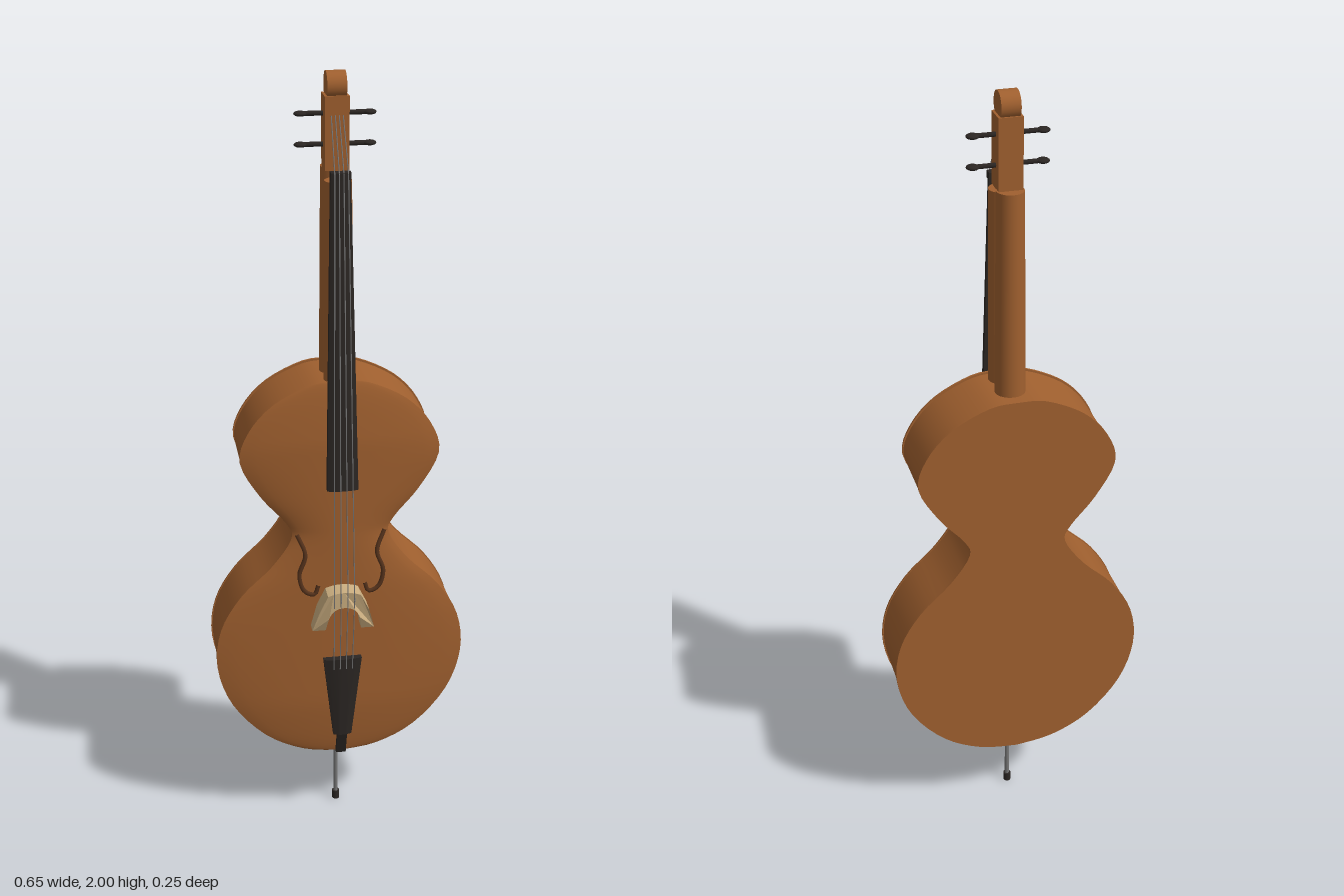
import * as THREE from 'three';
import { toCreasedNormals } from 'three/addons/utils/BufferGeometryUtils.js';

const mat = (color) => new THREE.MeshStandardMaterial({ color });
const V = (x, y, z) => new THREE.Vector3(x, y, z);

export function createModel() {
  const root = new THREE.Group();
  const wood = mat(0xa0602f), ebony = mat(0x2b2623), maple = mat(0xcbae80);
  const steel = mat(0x777777), shadow = mat(0x56331c);

  const add = (name, geo, material, x = 0, y = 0, z = 0) => {
    const m = new THREE.Mesh(geo, material);
    m.name = name;
    m.position.set(x, y, z);
    root.add(m);
    return m;
  };

  // straight round bar between two points
  const rod = (name, a, b, r, material, sides = 8) => {
    const d = b.clone().sub(a);
    const m = add(name, new THREE.CylinderGeometry(r, r, d.length(), sides), material);
    m.position.copy(a).addScaledVector(d, 0.5);
    m.quaternion.setFromUnitVectors(V(0, 1, 0), d.normalize());
    return m;
  };

  // tapered slab with a gently rounded front; each end is [y, half width, back z, front z]
  const slab = (name, lo, hi, crown, material) => {
    const g = new THREE.BoxGeometry(2, 1, 1, 8, 1, 1);
    const p = g.attributes.position;
    for (let i = 0; i < p.count; i++) {
      const u = p.getX(i), e = p.getY(i) > 0 ? hi : lo;
      const z = p.getZ(i) > 0 ? e[3] - crown * u * u : e[2];
      p.setXYZ(i, u * e[1], e[0], z);
    }
    return add(name, toCreasedNormals(g, 0.5), material);
  };

  // body outline: bottom centre, up the left side, mirrored back down
  const half = [
    [0, 0.207], [0.1, 0.222], [0.2, 0.275], [0.285, 0.375], [0.322, 0.49], [0.31, 0.6],
    [0.255, 0.695], [0.175, 0.775], [0.125, 0.85], [0.138, 0.895], [0.2, 0.97],
    [0.25, 1.065], [0.228, 1.145], [0.165, 1.215], [0.07, 1.262], [0, 1.268],
  ].map(([x, y]) => new THREE.Vector2(x, y));
  const side = new THREE.SplineCurve(half).getPoints(60);
  const outline = [...side, ...side.slice(1, -1).reverse().map((p) => new THREE.Vector2(-p.x, p.y))];

  const plate = (name, z0, z1, grow) => {
    const pts = outline.map((p) => new THREE.Vector2(p.x * grow, 0.7375 + (p.y - 0.7375) * grow));
    const g = new THREE.ExtrudeGeometry(new THREE.Shape(pts), { depth: z1 - z0, bevelEnabled: false });
    return add(name, toCreasedNormals(g, 0.6), wood, 0, 0, z0);
  };
  plate('ribs', -0.122, 0.05, 0.99);
  plate('backPlate', -0.125, -0.119, 1);
  plate('frontRim', 0.047, 0.053, 1);

  // arched front plate, one row per outline point
  const archZ = (u, t) => 0.053 + 0.023 * (1 - u * u) ** 0.8 * Math.min(1, Math.sin(Math.PI * t) * 2.2) ** 0.6;
  const belly = new THREE.PlaneGeometry(2, 1, 24, 60);
  const bp = belly.attributes.position;
  for (let i = 0; i < bp.count; i++) {
    const row = Math.floor(i / 25), u = bp.getX(i);
    const p = side[60 - row];
    const t = Math.min(1, Math.max(0, (p.y - 0.207) / 1.061));
    bp.setXYZ(i, u * p.x, p.y, archZ(u, t));
  }
  belly.computeVertexNormals();
  add('archedFront', belly, wood);

  // curved sound holes
  for (const s of [1, -1]) {
    const path = new THREE.CatmullRomCurve3([
      V(0.112 * s, 0.865, 0.06), V(0.092 * s, 0.81, 0.07), V(0.108 * s, 0.755, 0.073),
      V(0.095 * s, 0.71, 0.074), V(0.07 * s, 0.7, 0.075), V(0.06 * s, 0.725, 0.075),
    ]);
    add('soundHole', new THREE.TubeGeometry(path, 30, 0.006, 6), shadow);
  }

  // neck: a round back column and a round column under the fingerboard
  const column = (name, rTop, rBottom, y0, y1, z) => {
    const m = add(name, new THREE.CylinderGeometry(rTop, rBottom, y1 - y0, 20), wood, 0, (y0 + y1) / 2, z);
    return m;
  };
  column('neckBack', 0.033, 0.038, 1.24, 1.775, -0.05);
  column('neckFront', 0.033, 0.036, 1.24, 1.755, 0.018);

  // pegbox and scroll
  add('pegbox', new THREE.BoxGeometry(0.058, 0.172, 0.06), wood, 0, 1.86, -0.026);
  const scroll = add('scroll', new THREE.CylinderGeometry(0.033, 0.033, 0.046, 24), wood, 0, 1.967, -0.026);
  scroll.rotation.z = Math.PI / 2;

  // tuning pegs with flattened heads
  for (const y of [1.83, 1.902]) {
    rod('pegShaft', V(-0.08, y, -0.03), V(0.08, y, -0.03), 0.006, ebony);
    for (const s of [1, -1]) {
      const head = add('pegHead', new THREE.SphereGeometry(0.016, 12, 8), ebony, 0.082 * s, y, -0.03);
      head.scale.y = 0.4;
    }
  }

  // fingerboard, nut and tailpiece
  slab('fingerboard', [0.995, 0.039, 0.08, 0.102], [1.775, 0.024, 0.045, 0.063], 0.006, ebony);
  slab('nut', [1.765, 0.024, 0.045, 0.07], [1.783, 0.024, 0.045, 0.07], 0.004, ebony);
  slab('tailpiece', [0.285, 0.024, 0.08, 0.1], [0.517, 0.05, 0.085, 0.105], 0.006, ebony);
  slab('tailLoop', [0.21, 0.013, 0.055, 0.068], [0.29, 0.013, 0.082, 0.094], 0, ebony);

  // arched bridge with two spread feet
  const b = new THREE.Shape();
  b.moveTo(-0.042, 0.715);
  b.quadraticCurveTo(0, 0.732, 0.042, 0.715);
  b.lineTo(0.064, 0.67);
  b.lineTo(0.08, 0.61);
  b.lineTo(0.046, 0.61);
  b.lineTo(0.04, 0.65);
  b.quadraticCurveTo(0.03, 0.68, 0, 0.68);
  b.quadraticCurveTo(-0.03, 0.68, -0.04, 0.65);
  b.lineTo(-0.046, 0.61);
  b.lineTo(-0.08, 0.61);
  b.lineTo(-0.064, 0.67);
  b.closePath();
  const bridge = new THREE.ExtrudeGeometry(b, { depth: 0.053, bevelEnabled: false });
  // feet are shallower than the top
  const gp = bridge.attributes.position;
  for (let i = 0; i < gp.count; i++) {
    if (gp.getY(i) < 0.62 && gp.getZ(i) > 0.02) gp.setZ(i, 0.035);
  }
  bridge.computeVertexNormals();
  add('bridge', bridge, maple, 0, 0, 0.072);

  // strings from tailpiece over bridge and nut to the pegbox
  for (let i = 0; i < 4; i++) {
    const u = (i - 1.5) / 1.5;
    const pts = [V(0.024 * u, 0.49, 0.106), V(0.026 * u, 0.7, 0.126), V(0.016 * u, 1.78, 0.07), V(0.014 * u, 1.902, 0.003)];
    for (let k = 0; k < 3; k++) rod('string', pts[k], pts[k + 1], 0.0014, steel, 5);
  }

  // end pin
  add('endPinCollar', new THREE.CylinderGeometry(0.014, 0.012, 0.022, 12), ebony, 0, 0.202, -0.026);
  rod('endPin', V(0, 0.02, -0.026), V(0, 0.2, -0.026), 0.006, steel, 10);
  add('endPinTip', new THREE.CylinderGeometry(0.01, 0.01, 0.024, 12), ebony, 0, 0.012, -0.026);

  return root;
}
